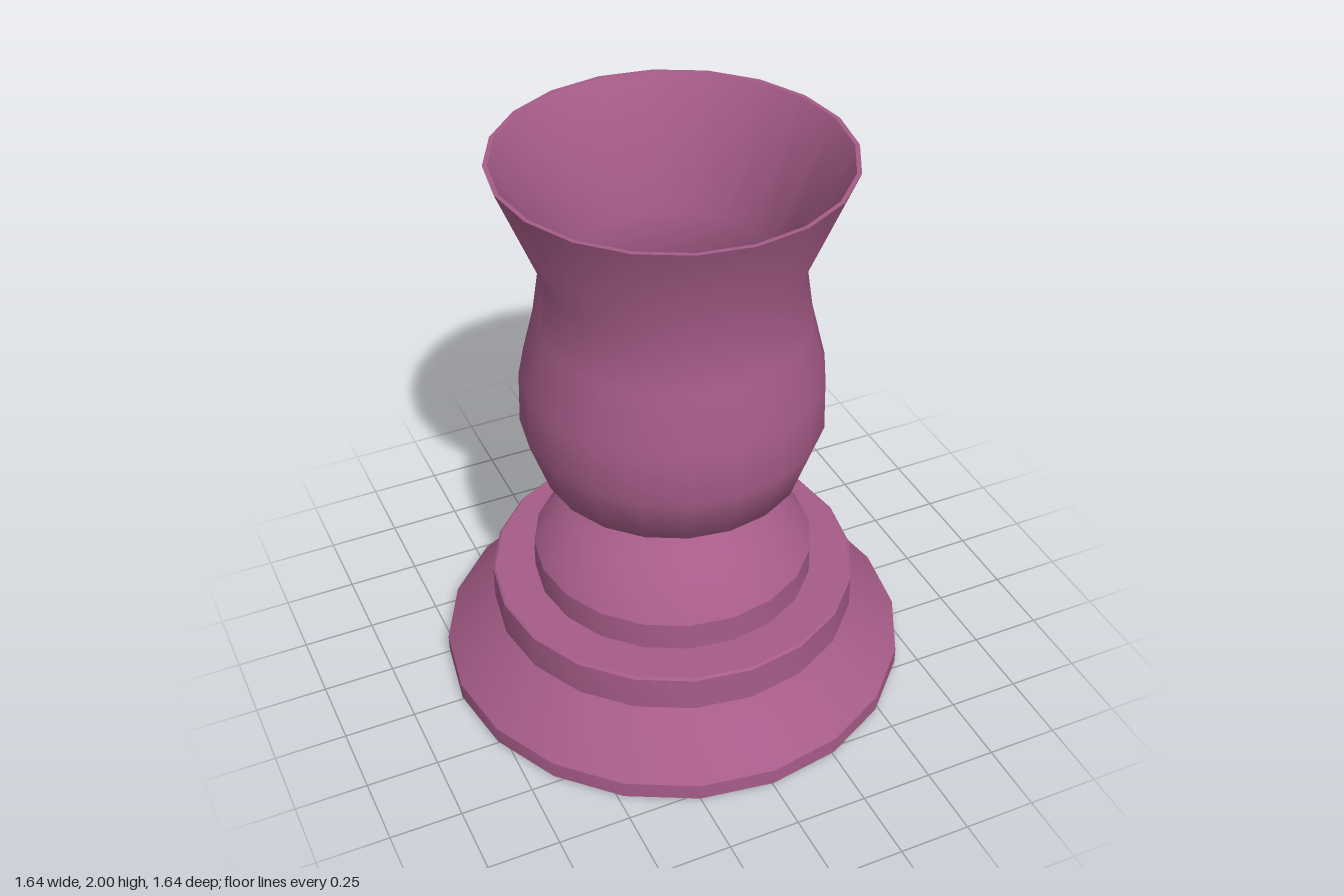
import * as THREE from 'three';
import { toCreasedNormals } from 'three/addons/utils/BufferGeometryUtils.js';

const SIDES = 20;
const material = new THREE.MeshStandardMaterial({ color: 0xa65c88 });

// Turned part from [radius, height] pairs, listed so the surface faces outward
function turned(name, profile, creaseDegrees) {
  const points = profile.map(([r, y]) => new THREE.Vector2(r, y));
  const geometry = toCreasedNormals(
    new THREE.LatheGeometry(points, SIDES),
    THREE.MathUtils.degToRad(creaseDegrees)
  );
  const mesh = new THREE.Mesh(geometry, material);
  mesh.name = name;
  return mesh;
}

export function createModel() {
  const group = new THREE.Group();
  group.name = 'goblet';

  // Wide foot: short rim, sloping skirt and upright step
  group.add(turned('foot', [
    [0, 0], [0.81, 0], [0.82, 0.01], [0.82, 0.07],
    [0.64, 0.255], [0.64, 0.38], [0.632, 0.387], [0, 0.387],
  ], 32));

  // Domed collar between foot and cup
  group.add(turned('collar', [
    [0, 0.38], [0.49, 0.38], [0.49, 0.49], [0.455, 0.54],
    [0.37, 0.63], [0.26, 0.69], [0.255, 0.715], [0, 0.715],
  ], 32));

  // Hollow cup: bulging outside, flared lip, narrow throat and rounded bowl inside
  group.add(turned('cup', [
    [0, 0.71], [0.26, 0.71], [0.45, 0.84], [0.515, 1.03], [0.51, 1.22],
    [0.46, 1.42], [0.43, 1.62], [0.583, 2], [0.568, 2],
    [0.345, 1.6], [0.37, 1.42], [0.42, 1.22], [0.425, 1.04],
    [0.36, 0.89], [0.2, 0.8], [0, 0.78],
  ], 48));

  return group;
}
